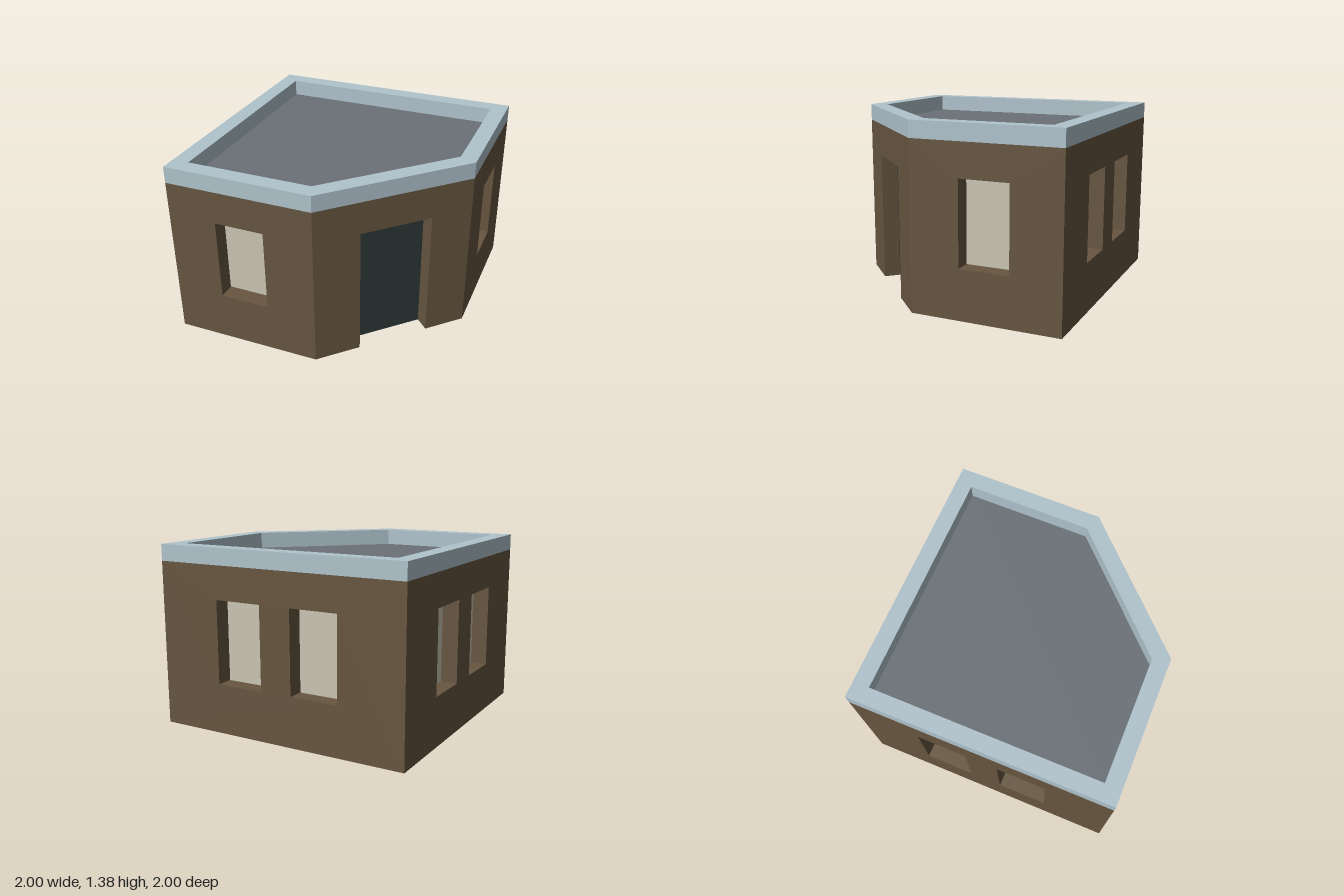
import * as THREE from 'three';

const mat = (name, color) => {
  const m = new THREE.MeshStandardMaterial({ color, side: THREE.DoubleSide });
  m.name = name;
  return m;
};

export function createModel() {
  const wallMat = mat('brown wall', 0x675640);
  const trimMat = mat('pale blue trim', 0xb0c3cc);
  const roofMat = mat('grey roof', 0x6b7178);
  const glassMat = mat('cream glass', 0xcac6b4);
  const doorMat = mat('dark door', 0x2d3737);

  const EAVE = 1.25, TOP = 1.375, DEPTH = 0.125;
  const model = new THREE.Group();
  model.name = 'cornerBuilding';

  const add = (parent, name, geometry, material) => {
    const mesh = new THREE.Mesh(geometry, material);
    mesh.name = name;
    parent.add(mesh);
    return mesh;
  };

  // Group whose local x runs from a to b and whose local z points outward
  const side = (name, a, b) => {
    const g = new THREE.Group();
    g.name = name;
    g.position.set(a[0], 0, a[1]);
    g.rotation.y = Math.atan2(a[1] - b[1], b[0] - a[0]);
    model.add(g);
    return g;
  };
  const lengthOf = (a, b) => Math.hypot(b[0] - a[0], b[1] - a[1]);

  const strip = (parent, name, len, y0, y1, material) =>
    add(parent, name, new THREE.PlaneGeometry(len, y1 - y0), material)
      .position.set(len / 2, (y0 + y1) / 2, 0);

  // Recess set into a wall: reveals on the sides, head and sill, panel at the back
  const recess = (parent, name, x0, x1, y0, y1, panelMat, hasSill) => {
    const g = new THREE.Group();
    g.name = name;
    parent.add(g);
    const w = x1 - x0, h = y1 - y0, cx = (x0 + x1) / 2, cy = (y0 + y1) / 2;
    add(g, 'panel', new THREE.PlaneGeometry(w, h), panelMat).position.set(cx, cy, -DEPTH);
    for (const s of [-1, 1]) {
      const jamb = add(g, 'jamb', new THREE.PlaneGeometry(DEPTH, h), wallMat);
      jamb.position.set(cx + s * w / 2, cy, -DEPTH / 2);
      jamb.rotation.y = -s * Math.PI / 2;
    }
    for (const s of hasSill ? [-1, 1] : [1]) {
      const ledge = add(g, s > 0 ? 'head' : 'sill', new THREE.PlaneGeometry(w, DEPTH), wallMat);
      ledge.position.set(cx, cy + s * h / 2, -DEPTH / 2);
      ledge.rotation.x = s * Math.PI / 2;
    }
  };

  // Plan of the outer walls and of the inner parapet, as [x, z]
  const outer = [[-1, 1], [0.125, 1], [1, 0.125], [1, -1], [-1, -1]];
  const inner = [[-0.875, 0.875], [0.073, 0.875], [0.875, 0.073], [0.875, -0.875], [-0.875, -0.875]];

  // Openings measured along each wall
  const walls = [
    { name: 'frontWall', windows: [0.375] },
    { name: 'entranceWall', windows: [], door: [0.354, 0.911] },
    { name: 'rightWall', windows: [0.375] },
    { name: 'backWall', windows: [0.5, 1.125] },
    { name: 'leftWall', windows: [0.5, 1.125] },
  ];
  const WIN_W = 0.375, WIN_Y0 = 0.375, HEAD = 1;
  const rect = (x0, x1, y0, y1) =>
    [[x0, y0], [x1, y0], [x1, y1], [x0, y1]].map(p => new THREE.Vector2(...p));

  walls.forEach(({ name, windows, door }, i) => {
    const a = outer[i], b = outer[(i + 1) % 5], len = lengthOf(a, b);
    const g = side(name, a, b);
    const outline = rect(0, len, 0, EAVE);
    if (door) { // doorway notch, open at the ground
      const [l, d] = door;
      outline.splice(1, 0, ...[[l, 0], [l, HEAD], [d, HEAD], [d, 0]].map(p => new THREE.Vector2(...p)));
      recess(g, 'door', l, d, 0, HEAD, doorMat, false);
    }
    const shape = new THREE.Shape(outline);
    for (const x of windows) {
      shape.holes.push(new THREE.Path(rect(x, x + WIN_W, WIN_Y0, HEAD)));
      recess(g, 'window', x, x + WIN_W, WIN_Y0, HEAD, glassMat, true);
    }
    add(g, 'wallFace', new THREE.ShapeGeometry(shape), wallMat);
    strip(g, 'parapetBand', len, EAVE, TOP, trimMat);

    // Inner face of the parapet, turned toward the roof
    const c = inner[(i + 1) % 5], d = inner[i];
    strip(side('parapetInside', c, d), 'parapetInnerFace', lengthOf(c, d), EAVE, TOP, trimMat);
  });

  // Flat surfaces: plan y is -z so that they face up after the turn
  const plan = pts => pts.map(([x, z]) => new THREE.Vector2(x, -z));
  const flat = (name, shape, y, material) => {
    const geometry = new THREE.ShapeGeometry(shape).rotateX(-Math.PI / 2);
    add(model, name, geometry, material).position.y = y;
  };
  const coping = new THREE.Shape(plan(outer));
  coping.holes.push(new THREE.Path(plan(inner)));
  flat('parapetTop', coping, TOP, trimMat);
  flat('roof', new THREE.Shape(plan(inner)), EAVE, roofMat);

  return model;
}
